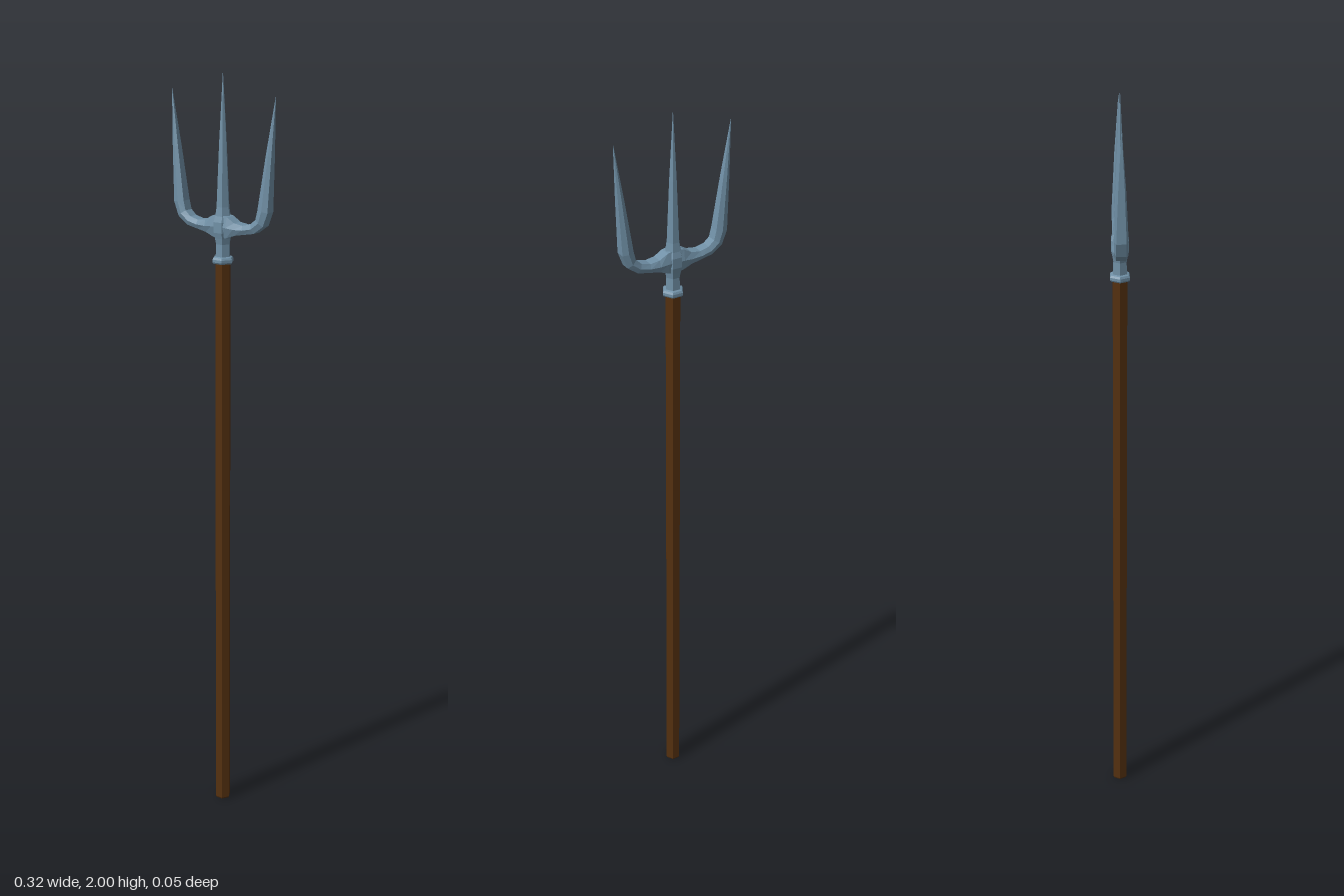
import * as THREE from 'three';

const steel = new THREE.MeshStandardMaterial({ color: 0x7090a6, flatShading: true });
steel.name = 'steel';
const wood = new THREE.MeshStandardMaterial({ color: 0x54300f, flatShading: true });
wood.name = 'wood';

// Six-sided turned part with corners on the x axis; profile is [radius, y] from bottom to top
function turned(name, profile, material) {
  const points = profile.map(([r, y]) => new THREE.Vector2(r, y));
  const mesh = new THREE.Mesh(new THREE.LatheGeometry(points, 6, Math.PI / 2), material);
  mesh.name = name;
  return mesh;
}

// Six-sided bar swept along a path in the xy plane; stations are [x, y, half width, half depth]
function sweptBar(stations) {
  const section = [[1, -0.7], [1, 0.7], [0, 1], [-1, 0.7], [-1, -0.7], [0, -1]];
  const n = section.length;
  const positions = [];
  const index = [];
  stations.forEach(([x, y, w, d], i) => {
    const a = stations[Math.max(i - 1, 0)];
    const b = stations[Math.min(i + 1, stations.length - 1)];
    const t = new THREE.Vector2(b[0] - a[0], b[1] - a[1]).normalize();
    for (const [u, v] of section) positions.push(x - t.y * u * w, y + t.x * u * w, v * d);
    if (i === 0) return;
    for (let k = 0; k < n; k++) {
      const p = (i - 1) * n + k;
      const q = (i - 1) * n + (k + 1) % n;
      index.push(p, q, p + n, q, q + n, p + n);
    }
  });
  const geometry = new THREE.BufferGeometry();
  geometry.setAttribute('position', new THREE.Float32BufferAttribute(positions, 3));
  geometry.setIndex(index);
  geometry.computeVertexNormals();
  return geometry;
}

export function createModel() {
  const model = new THREE.Group();
  model.name = 'fork';

  // Wooden shaft
  model.add(turned('shaft', [[0, 0], [0.019, 0], [0.021, 0.004], [0.021, 1.52], [0, 1.52]], wood));

  // Socket with its collar
  model.add(turned('socket', [
    [0, 1.515], [0.026, 1.515], [0.029, 1.519], [0.029, 1.526], [0.026, 1.531],
    [0.02, 1.533], [0.019, 1.565], [0.022, 1.58],
  ], steel));

  // Central tine, flared where the side tines meet it
  model.add(turned('centreTine', [
    [0.022, 1.58], [0.026, 1.595], [0.026, 1.622], [0.021, 1.637],
    [0.0175, 1.66], [0.0105, 1.82], [0, 2],
  ], steel));

  // Side tines, the right one being the left one turned half way round
  const tine = sweptBar([
    [0, 1.61, 0.032, 0.021],
    [0.022, 1.61, 0.027, 0.021],
    [0.045, 1.608, 0.016, 0.02],
    [0.072, 1.609, 0.0115, 0.019],
    [0.1, 1.615, 0.0125, 0.018],
    [0.122, 1.632, 0.014, 0.018],
    [0.132, 1.662, 0.0155, 0.018],
    [0.146, 1.8, 0.0085, 0.011],
    [0.161, 1.944, 0.0003, 0.0003],
  ]);
  for (const [name, turn] of [['leftTine', 0], ['rightTine', Math.PI]]) {
    const mesh = new THREE.Mesh(tine, steel);
    mesh.name = name;
    mesh.rotation.y = turn;
    model.add(mesh);
  }
  return model;
}
